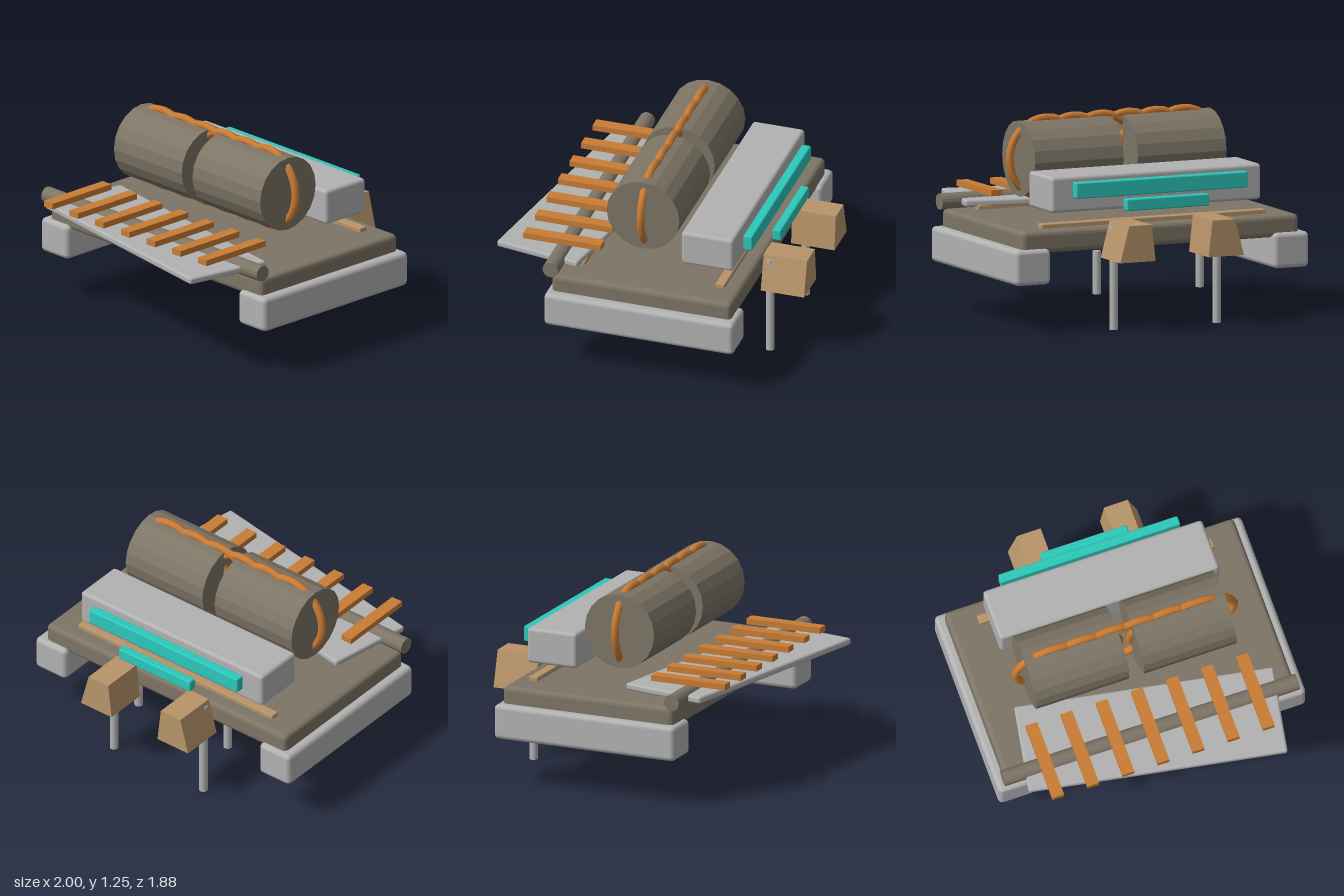
import * as THREE from 'three';
import { RoundedBoxGeometry } from 'three/addons/geometries/RoundedBoxGeometry.js';

const mat = (name, color, flatShading = false) => {
  const m = new THREE.MeshStandardMaterial({ color });
  m.name = name;
  m.flatShading = flatShading;
  return m;
};

export function createModel() {
  const model = new THREE.Group();
  const grey = mat('grey metal', 0xb2b2b2);
  const olive = mat('olive drab', 0x7d7566, true);
  const copper = mat('copper', 0xc97c35);
  const teal = mat('teal', 0x2cc9bb);
  const tan = mat('tan', 0xb8956a);

  const add = (name, geometry, material, x, y, z) => {
    const mesh = new THREE.Mesh(geometry, material);
    mesh.name = name;
    mesh.position.set(x, y, z);
    model.add(mesh);
    return mesh;
  };
  // Box given by its minimum and maximum on each axis
  const box = (name, material, [x0, x1], [y0, y1], [z0, z1], r = 0) => {
    const size = [x1 - x0, y1 - y0, z1 - z0];
    const geometry = r ? new RoundedBoxGeometry(...size, 2, r) : new THREE.BoxGeometry(...size);
    return add(name, geometry, material, (x0 + x1) / 2, (y0 + y1) / 2, (z0 + z1) / 2);
  };
  const post = (name, x, y0, y1, z) =>
    add(name, new THREE.CylinderGeometry(0.027, 0.027, y1 - y0, 12), grey, x, (y0 + y1) / 2, z);
  const rollerX = (name, r, length, sides, x, y, z) => {
    const g = new THREE.CylinderGeometry(r, r, length, sides).rotateZ(Math.PI / 2);
    return add(name, g, olive, x, y, z);
  };

  // Deck and side skids
  box('deck', olive, [-0.945, 0.935], [0.49, 0.628], [-0.64, 0.515], 0.03);
  box('rightSkid', grey, [-1, -0.76], [0.3, 0.52], [-0.675, 0.548], 0.03);
  box('leftSkid', grey, [0.755, 0.995], [0.3, 0.52], [-0.675, 0.548], 0.03);

  // Cross strips set into the deck
  for (const z of [-0.515, 0.385]) {
    box('crossStrip', tan, [-0.765, 0.76], [0.6, 0.656], [z - 0.03, z + 0.03], 0.008);
  }

  // Front tray, turned slightly, with its roller and slats
  const tray = add('frontTray', new RoundedBoxGeometry(1.61, 0.044, 0.56, 2, 0.015), grey, -0.005, 0.667, 0.518);
  tray.rotation.y = -0.174;
  rollerX('frontRoller', 0.051, 1.915, 16, -0.01, 0.67, 0.518);
  for (let i = 0; i < 7; i++) {
    const x = -0.695 + i * 0.228;
    box('slat', copper, [x - 0.038, x + 0.038], [0.72, 0.757], [0.27, 0.77]);
  }

  // Twin drums wound by six overlapping rings
  for (const x of [-0.352, 0.346]) rollerX('drum', 0.235, 0.602, 20, x, 0.983, 0.018);
  for (let i = 0; i < 6; i++) {
    const ring = new THREE.TorusGeometry(0.246, 0.025, 8, 32);
    add('coilRing', ring, copper, -0.465 + i * 0.186, 0.982, 0.014);
  }

  // Rear housing with two lit bars
  box('rearHousing', grey, [-0.715, 0.71], [0.724, 0.947], [-0.583, -0.248], 0.022);
  box('upperLightBar', teal, [-0.585, 0.58], [0.816, 0.916], [-0.664, -0.605], 0.01);
  box('lowerLightBar', teal, [-0.283, 0.278], [0.733, 0.808], [-0.75, -0.695], 0.01);

  // Posts and tapered rear blocks on each side
  for (const s of [-1, 1]) {
    const side = s < 0 ? 'right' : 'left';
    const x = s * 0.35 - 0.003;
    post(side + 'LongPost', x, 0, 0.642, -0.705);
    post(side + 'ShortPost', x, 0.19, 0.457, -0.465);

    const corners = [[0.18, 0.445], [0.42, 0.445], [0.36, 0.671], [0.206, 0.671]];
    const profile = new THREE.Shape(corners.map(([cx, cy]) => new THREE.Vector2(s * cx, cy)));
    const block = new THREE.ExtrudeGeometry(profile, { depth: 0.28, bevelEnabled: false });
    add(side + 'RearBlock', block, tan, -0.004, 0, -0.945);
  }

  return model;
}
